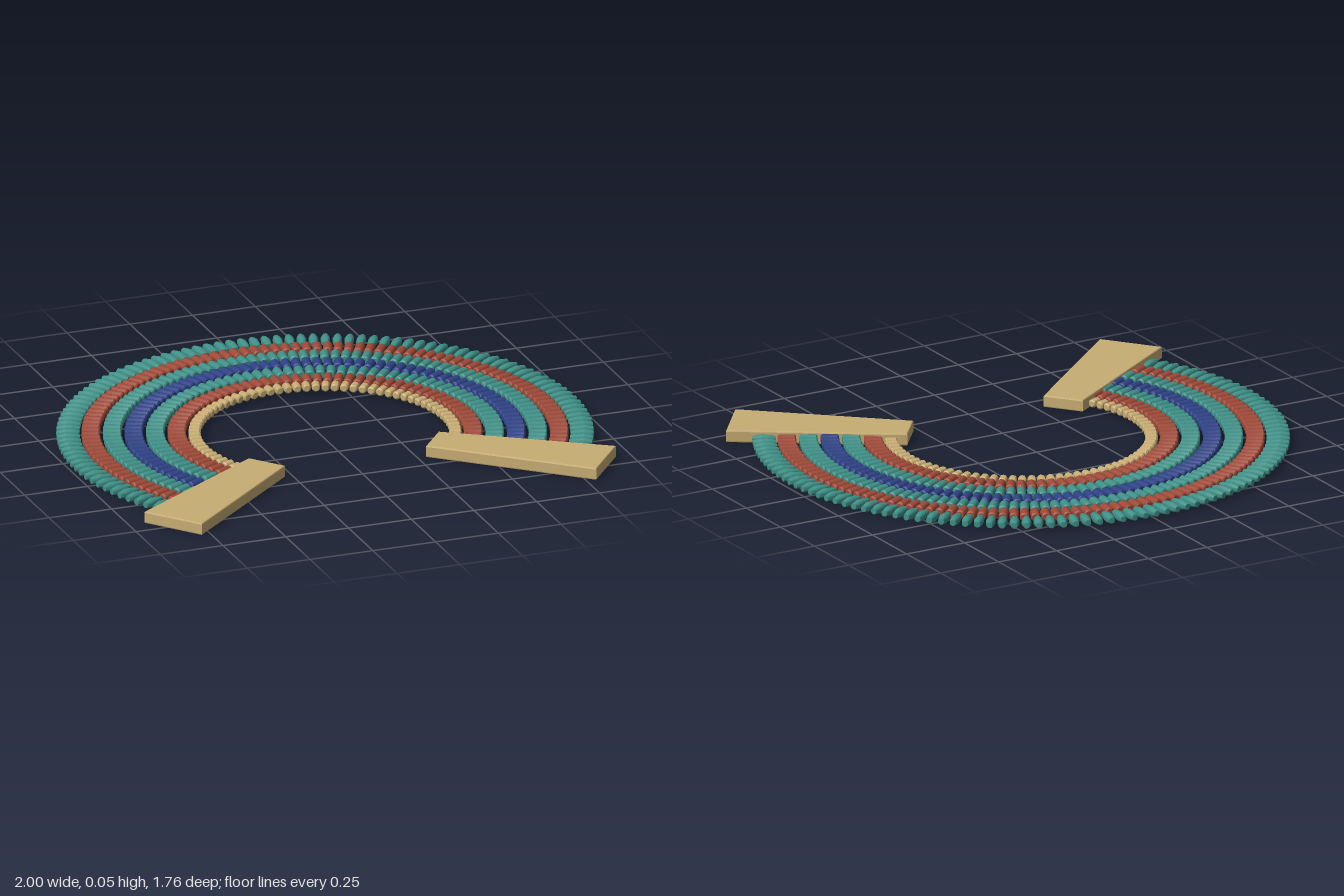
import * as THREE from 'three';
import { mergeGeometries, toCreasedNormals } from 'three/addons/utils/BufferGeometryUtils.js';

const mat = (name, color) => new THREE.MeshStandardMaterial({ name, color });

const CENTRE_Z = 0.113; // centre of the bead arcs
const BEAD_Y = 0.023;
const HALF_SPAN = THREE.MathUtils.degToRad(119.5);

// A bead turned around its long axis; profile points are [radius, position along axis]
function beadGeometry(profile) {
  const geo = new THREE.LatheGeometry(profile.map(([r, y]) => new THREE.Vector2(r, y)), 10);
  geo.rotateX(-Math.PI / 2); // long axis points away from the arc centre
  return toCreasedNormals(geo, 0.7);
}

// Short barrel with chamfered ends
function barrel(radius, length) {
  const h = length / 2, c = 0.005;
  return beadGeometry([[0, -h], [radius - c, -h], [radius, -h + c], [radius, h - c], [radius - c, h], [0, h]]);
}

// Drop that narrows towards its outer tip
function drop(length) {
  const h = length / 2;
  return beadGeometry([[0, -h], [0.011, -h], [0.015, -h + 0.015], [0.019, 0.005], [0.018, h - 0.03], [0.012, h - 0.002], [0, h]]);
}

// One arc of evenly spaced beads
function beadRow(name, bead, material, radius, spacing) {
  const count = Math.round((2 * HALF_SPAN * radius) / spacing) + 1;
  const parts = [];
  for (let i = 0; i < count; i++) {
    const angle = -HALF_SPAN + (2 * HALF_SPAN * i) / (count - 1);
    parts.push(bead.clone().translate(0, 0, -radius).rotateY(angle).translate(0, BEAD_Y, CENTRE_Z));
  }
  const mesh = new THREE.Mesh(mergeGeometries(parts), material);
  mesh.name = name;
  return mesh;
}

// Tapered end plate with softened edges; side is +1 or -1
function endPlate(name, side, material) {
  const b = 0.005;
  const corners = [[0.379, 0.311], [0.933, 0.681], [0.785, 0.868], [0.287, 0.426]];
  const shape = new THREE.Shape(corners.map(([x, z]) => new THREE.Vector2(x * side, -z)));
  const geo = new THREE.ExtrudeGeometry(shape, {
    depth: 0.047 - 2 * b, bevelThickness: b, bevelSize: b, bevelSegments: 2,
  });
  geo.rotateX(-Math.PI / 2).translate(0, b, 0);
  const mesh = new THREE.Mesh(geo, material);
  mesh.name = name;
  return mesh;
}

export function createModel() {
  const gold = mat('gold', 0xc8ad74);
  const teal = mat('teal', 0x3f9188);
  const red = mat('brick red', 0xa04a38);
  const blue = mat('deep blue', 0x2f4287);

  const group = new THREE.Group();
  group.name = 'beadCollar';

  // Bead rows from the neck outwards
  group.add(beadRow('innerGoldBeads', barrel(0.016, 0.045), gold, 0.485, 0.036));
  [['innerRedBeads', red], ['innerTealBeads', teal], ['middleBlueBeads', blue],
    ['outerTealBeads', teal], ['outerRedBeads', red]].forEach(([name, material], i) => {
    group.add(beadRow(name, barrel(0.018, 0.068), material, 0.551 + 0.08 * i, 0.039));
  });
  group.add(beadRow('rimDropBeads', drop(0.088), teal, 0.956, 0.0445));

  // Plates closing both ends
  group.add(endPlate('leftEndPlate', 1, gold), endPlate('rightEndPlate', -1, gold));
  return group;
}
